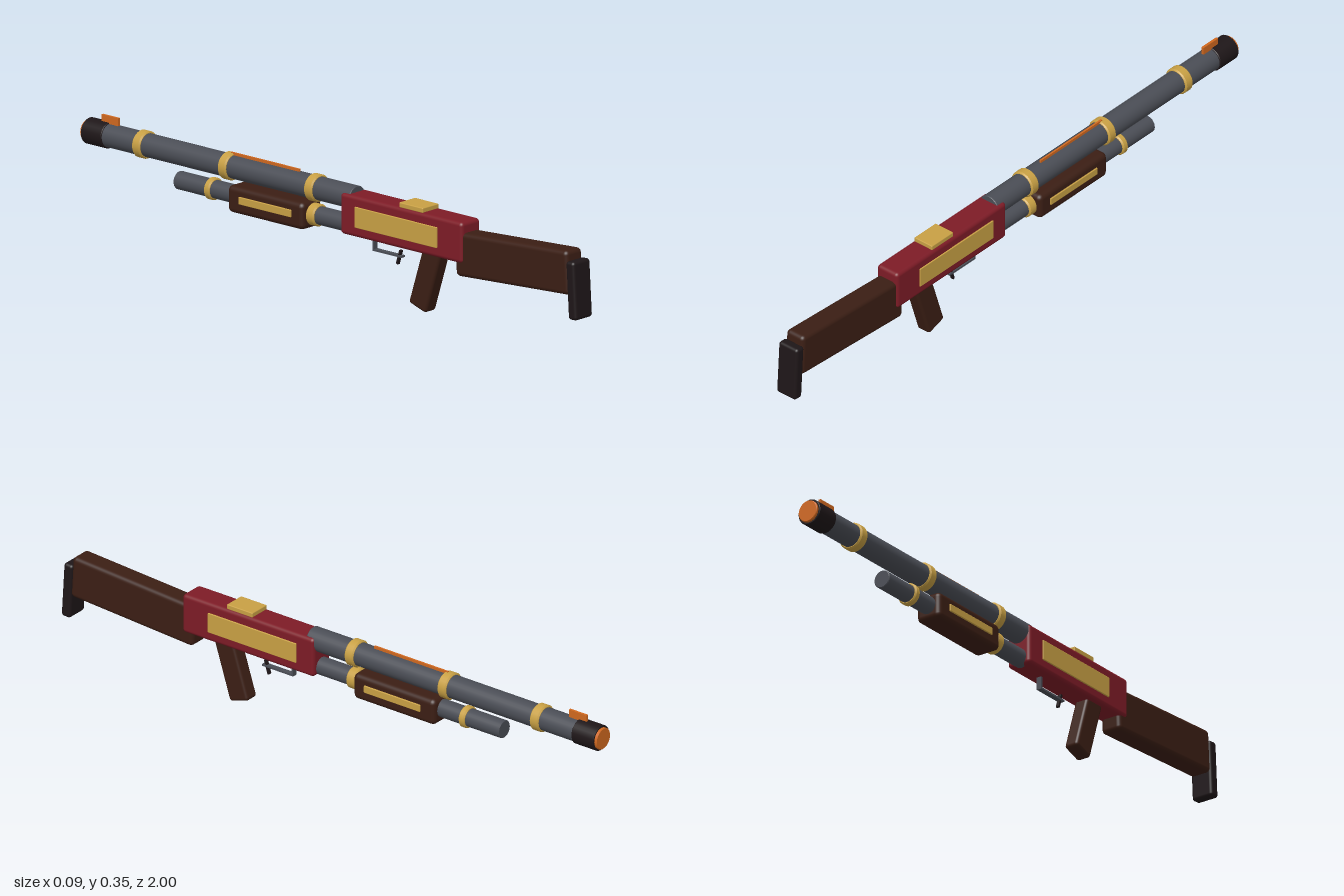
import * as THREE from 'three';
import { RoundedBoxGeometry } from 'three/addons/geometries/RoundedBoxGeometry.js';

const mat = (color) => new THREE.MeshStandardMaterial({ color });

export function createModel() {
  const model = new THREE.Group();
  const wood = mat(0x3b1e14), red = mat(0x7d1b26), gold = mat(0xc8a044);
  const steel = mat(0x4a4d55), black = mat(0x1e1618), orange = mat(0xd0681f);

  const add = (name, geometry, material, x, y, z, tilt = 0) => {
    const mesh = new THREE.Mesh(geometry, material);
    mesh.name = name;
    mesh.position.set(x, y, z);
    mesh.rotation.x = tilt;
    model.add(mesh);
    return mesh;
  };
  const box = (name, material, [w, h, d], [x, y, z], tilt = 0, r = 0) =>
    add(name, r ? new RoundedBoxGeometry(w, h, d, 3, r) : new THREE.BoxGeometry(w, h, d),
      material, x, y, z, tilt);
  // Solid of revolution along z, with a small bevel on both rims
  const tube = (name, material, r, y, z0, z1, bevel = 0.002) => {
    const h = Math.abs(z1 - z0) / 2;
    const points = [[0, -h], [r - bevel, -h], [r - bevel, -h], [r, -h + bevel], [r, -h + bevel],
      [r, h - bevel], [r, h - bevel], [r - bevel, h], [r - bevel, h], [0, h]];
    const geometry = new THREE.LatheGeometry(points.map((p) => new THREE.Vector2(...p)), 28);
    geometry.rotateX(Math.PI / 2);
    return add(name, geometry, material, 0, y, (z0 + z1) / 2);
  };

  // Stock, butt pad and grip
  box('stock', wood, [0.07, 0.135, 0.457], [0, 0.224, 0.735], -0.06, 0.014);
  box('buttPad', black, [0.075, 0.178, 0.034], [0, 0.187, 0.978], -0.06, 0.01);
  box('grip', wood, [0.048, 0.235, 0.072], [0, 0.123, 0.381], 0.31, 0.01);

  // Receiver with its plates
  box('receiver', red, [0.082, 0.126, 0.492], [0, 0.25, 0.298], 0, 0.012);
  box('topPlate', gold, [0.07, 0.016, 0.096], [0, 0.319, 0.333], 0, 0.003);

  // Barrel, muzzle and sights
  tube('barrel', steel, 0.036, 0.295, 0.085, -0.95);
  tube('muzzleCap', black, 0.04, 0.295, -0.91, -0.992);
  tube('muzzlePlug', orange, 0.034, 0.295, -0.96, -1);
  box('frontSight', orange, [0.008, 0.028, 0.066], [0, 0.341, -0.907]);
  box('sightRib', orange, [0.006, 0.014, 0.275], [0, 0.332, -0.283]);
  for (const z of [-0.078, -0.425, -0.77])
    tube('barrelBand', gold, 0.042, 0.295, z + 0.016, z - 0.016, 0.004);

  // Magazine tube and fore-end
  tube('magazineTube', steel, 0.028, 0.212, 0.07, -0.63);
  tube('magazineBand', gold, 0.034, 0.212, -0.062, -0.094, 0.004);
  tube('magazineBand', gold, 0.034, 0.212, -0.482, -0.504, 0.004);
  box('foreEnd', wood, [0.086, 0.083, 0.305], [0, 0.208, -0.248], 0, 0.016);

  // Side inlays, mirrored
  for (const side of [-1, 1]) {
    box('receiverInlay', gold, [0.008, 0.064, 0.33], [side * 0.041, 0.25, 0.28], 0, 0.002);
    box('foreEndInlay', gold, [0.008, 0.023, 0.21], [side * 0.0435, 0.212, -0.245], 0, 0.002);
  }

  // Trigger guard and trigger
  box('guardPost', steel, [0.016, 0.04, 0.006], [0, 0.168, 0.157]);
  box('guardBar', steel, [0.016, 0.006, 0.116], [0, 0.15, 0.212]);
  box('trigger', black, [0.01, 0.046, 0.007], [0, 0.146, 0.255], 0.3);

  return model;
}
